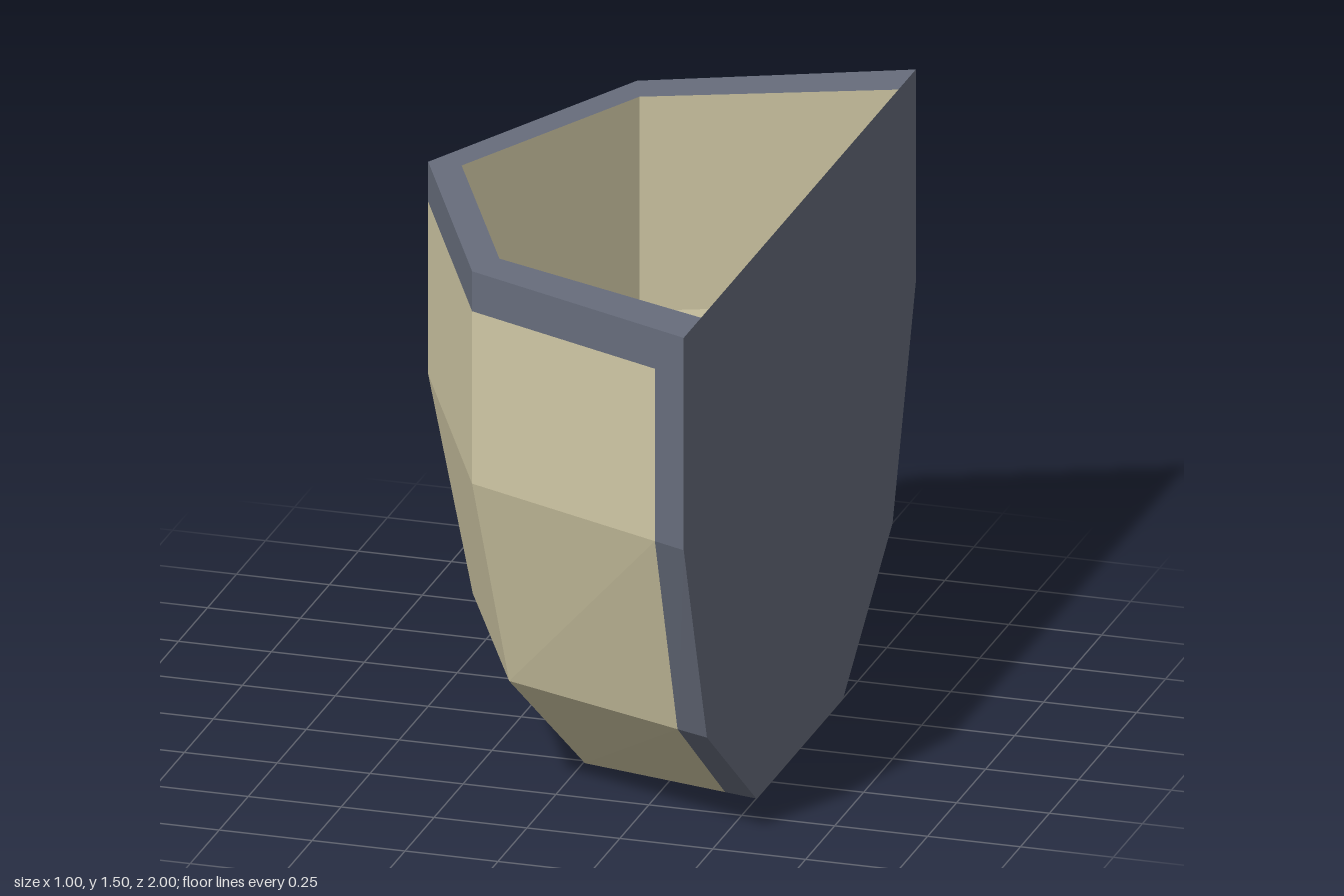
import * as THREE from 'three';

// Each ring is half an outline: [corner z, shoulder x, shoulder z, nose x] at a height
const BACK = 0.5;
const OUTER = [
  { y: 0, c: 0.375, sx: 0.005, sz: 0.266, nx: -0.12 },
  { y: 0.325, c: 0.8, sx: -0.105, sz: 0.567, nx: -0.38 },
  { y: 0.915, c: 1, sx: -0.16, sz: 0.71, nx: -0.5 },
  { y: 1.39, c: 1, sx: -0.16, sz: 0.71, nx: -0.5 },
  { y: 1.5, c: 1, sx: -0.16, sz: 0.71, nx: -0.5 },
];
const INNER = [
  { y: 0.08, c: 0.32, sx: 0.02, sz: 0.226, nx: -0.085 },
  { y: 0.36, c: 0.68, sx: -0.07, sz: 0.482, nx: -0.3 },
  { y: 0.91, c: 0.85, sx: -0.12, sz: 0.603, nx: -0.41 },
  { y: 1.5, c: 0.85, sx: -0.12, sz: 0.603, nx: -0.41 },
];

// Seven points from the -z corner round the nose to the +z corner;
// the second and sixth mark the edge of the trim at x = 0.41
function ringPoints({ y, c, sx, sz, nx }) {
  const t = (BACK - 0.41) / (BACK - sx);
  const cutZ = c + (sz - c) * t;
  const half = [[BACK, c], [0.41, cutZ], [sx, sz]];
  return [
    ...half.map(([x, z]) => new THREE.Vector3(x, y, -z)),
    new THREE.Vector3(nx, y, 0),
    ...half.reverse().map(([x, z]) => new THREE.Vector3(x, y, z)),
  ];
}

const quad = (low, high, i) => [low[i], low[i + 1], high[i + 1], low[i], high[i + 1], high[i]];

function fan(points) {
  const out = [];
  for (let i = 1; i < points.length - 1; i++) out.push(points[0], points[i], points[i + 1]);
  return out;
}

function flatMesh(name, points, material) {
  const geometry = new THREE.BufferGeometry().setFromPoints(points);
  geometry.computeVertexNormals();
  const mesh = new THREE.Mesh(geometry, material);
  mesh.name = name;
  return mesh;
}

export function createModel() {
  const slate = new THREE.MeshStandardMaterial({ name: 'slate', color: 0x676d7c });
  const sand = new THREE.MeshStandardMaterial({ name: 'sand', color: 0xd0c8a5 });
  const slateBoth = slate;
  slateBoth.side = THREE.DoubleSide;
  const group = new THREE.Group();
  group.name = 'halfBasin';

  const outer = OUTER.map(ringPoints);
  const inner = INNER.map(ringPoints);
  const shell = [], trim = [], lining = [], rim = [];

  // Outer shell, with trim along the top row and the two end columns
  for (let r = 0; r < outer.length - 1; r++) {
    for (let i = 0; i < 6; i++) {
      const isTrim = r === outer.length - 2 || i === 0 || i === 5;
      (isTrim ? trim : shell).push(...quad(outer[r], outer[r + 1], i));
    }
  }

  // Lining faces inwards, the rim joins it to the shell
  for (let r = 0; r < inner.length - 1; r++) {
    for (let i = 0; i < 6; i++) lining.push(...quad(inner[r + 1], inner[r], i));
  }
  for (let i = 0; i < 6; i++) rim.push(...quad(outer.at(-1), inner.at(-1), i));

  // Flat wall closing the open side
  const side = outer.map((p) => p[0]);
  const otherSide = outer.map((p) => p[6]).reverse();
  const wall = fan([...otherSide, ...side]);

  group.add(
    flatMesh('outerShell', shell, sand),
    flatMesh('outerTrim', trim, slate),
    flatMesh('lining', lining, sand),
    flatMesh('innerFloor', fan(inner[0]), sand),
    flatMesh('rim', rim, slate),
    flatMesh('underside', fan([...outer[0]].reverse()), slate),
    flatMesh('flatWall', wall, slateBoth),
  );
  return group;
}
